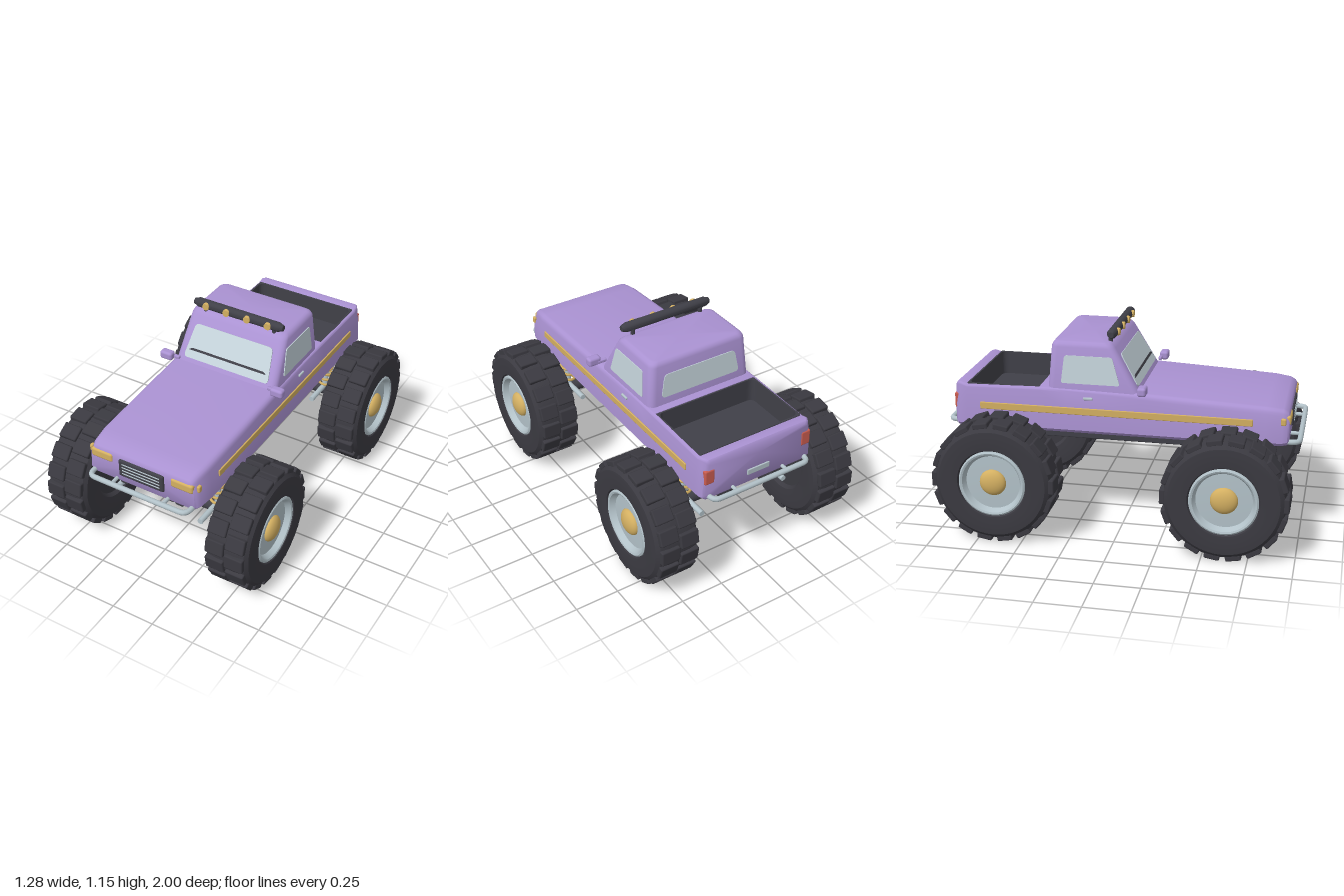
import * as THREE from 'three';
import { mergeGeometries, toCreasedNormals } from 'three/addons/utils/BufferGeometryUtils.js';
import { RoundedBoxGeometry } from 'three/addons/geometries/RoundedBoxGeometry.js';

const mat = (name, color) => Object.assign(new THREE.MeshStandardMaterial({ color }), { name });
const V = (x, y, z) => new THREE.Vector3(x, y, z);

export function createModel() {
  const truck = new THREE.Group();
  truck.name = 'monsterTruck';
  const paint = mat('purplePaint', 0xaa92d2), rubber = mat('rubber', 0x3b3a41), frame = mat('darkFrame', 0x404048);
  const glass = mat('glass', 0xc4d3da), silver = mat('silver', 0xb3c2c9), gold = mat('gold', 0xd4b062);
  const red = mat('tailRed', 0xcb5d50);

  const add = (name, geo, material, x = 0, y = 0, z = 0, parent = truck) => {
    const m = new THREE.Mesh(geo, material);
    m.name = name;
    m.position.set(x, y, z);
    parent.add(m);
    return m;
  };
  const rbox = (w, h, d, r = 0.01) => new RoundedBoxGeometry(w, h, d, 2, r);
  const tube = (pts, r, tension = 0.15) =>
    new THREE.TubeGeometry(new THREE.CatmullRomCurve3(pts, false, 'catmullrom', tension), 48, r, 10);

  // Skin closed rings, each counter-clockwise seen from the first ring's side
  const loft = (rings) => {
    const n = rings[0].length, pts = rings.flat(), idx = [];
    for (let i = 0; i < rings.length - 1; i++) for (let j = 0; j < n; j++) {
      const a = i * n + j, b = i * n + (j + 1) % n, c = a + n, d = b + n;
      idx.push(a, c, b, b, c, d);
    }
    [0, rings.length - 1].forEach((k) => {
      const centre = rings[k].reduce((s, p) => s.add(p), V(0, 0, 0)).divideScalar(n);
      pts.push(centre);
      for (let j = 0; j < n; j++) {
        const a = k * n + j, b = k * n + (j + 1) % n;
        idx.push(pts.length - 1, k ? b : a, k ? a : b);
      }
    });
    const g = new THREE.BufferGeometry().setFromPoints(pts);
    g.setIndex(idx);
    return toCreasedNormals(g, 0.75);
  };

  // Polygon with rounded corners
  const roundPoly = (pts, r, shape = new THREE.Shape()) => {
    const P = pts.map((p) => new THREE.Vector2(...p)), n = P.length;
    P.forEach((p, i) => {
      const toward = (q) => p.clone().add(q.clone().sub(p).setLength(r));
      const a = toward(P[(i + n - 1) % n]), b = toward(P[(i + 1) % n]);
      i ? shape.lineTo(a.x, a.y) : shape.moveTo(a.x, a.y);
      shape.quadraticCurveTo(p.x, p.y, b.x, b.y);
    });
    shape.closePath();
    return shape;
  };
  // Thin plate lying in the plane of u and v
  const plate = (name, pts, r, material, origin, u, v) => {
    const g = new THREE.ExtrudeGeometry(roundPoly(pts, r), { depth: 0.008, bevelEnabled: false, curveSegments: 6 });
    u.normalize(); v.normalize();
    const n = u.clone().cross(v);
    g.translate(0, 0, -0.003);
    g.applyMatrix4(new THREE.Matrix4().makeBasis(u, v, n).setPosition(origin));
    return add(name, g, material);
  };
  const trapezoid = (bottom, top, h) => [[-bottom, -h], [bottom, -h], [top, h], [-top, h]];

  // Body: sections along z; bed sections dip to the floor
  const section = ([z, yt, inset, r, yb = 0.57, bed = false]) => {
    const w = 0.355 - inset, wt = 0.336 - inset, xi = Math.min(0.32, wt - r), half = [];
    half.push([0, yb], [w - 0.02, yb], [w, yb + 0.02], [w - 0.005, 0.7]);
    for (let k = 0; k <= 4; k++) {
      const a = k * Math.PI / 8;
      half.push([wt - r + r * Math.cos(a), yt - r + r * Math.sin(a)]);
    }
    const yf = bed ? 0.67 : yt;
    half.push([xi, yt], [xi, yf], [0, yf]);
    const left = half.slice(1, -1).reverse().map(([x, y]) => [-x, y]);
    return [...half, ...left].map(([x, y]) => V(x, y, z));
  };
  add('body', loft([
    [0.926, 0.738, 0.032, 0.02, 0.585], [0.917, 0.757, 0.024, 0.03, 0.574], [0.89, 0.772, 0.014, 0.035],
    [0.8, 0.783, 0.004, 0.035], [0.45, 0.8, 0, 0.035], [0.12, 0.815, 0, 0.03], [-0.3, 0.818, 0, 0.016],
    [-0.455, 0.82, 0, 0.016], [-0.455, 0.82, 0, 0.016, 0.57, true], [-0.87, 0.812, 0, 0.016, 0.57, true],
    [-0.87, 0.812, 0, 0.016], [-0.91, 0.824, 0.002, 0.016], [-0.93, 0.82, 0.012, 0.016], [-0.94, 0.806, 0.026, 0.016, 0.585],
  ].map(section)), paint);

  // Bed liner
  const rect = (w, h) => [[-w, -h], [w, -h], [w, h], [-w, h]];
  const linerWall = roundPoly(rect(0.321, 0.209), 0.01);
  linerWall.holes.push(roundPoly(rect(0.311, 0.199), 0.04, new THREE.Path()));
  add('bedLiner', new THREE.ExtrudeGeometry(linerWall, { depth: 0.145, bevelEnabled: false }).rotateX(-Math.PI / 2), frame, 0, 0.672, -0.6625);
  add('bedFloor', new THREE.BoxGeometry(0.636, 0.012, 0.41), frame, 0, 0.674, -0.6625);

  // Cab: rounded rectangles from the roof down
  const cabRing = ([y, w, zf, zb, r]) => {
    const out = [];
    [[w - r, zb + r], [r - w, zb + r], [r - w, zf - r], [w - r, zf - r]].forEach(([x, z], q) => {
      for (let k = 0; k <= 5; k++) {
        const a = (q + k / 5) * Math.PI / 2;
        out.push(V(x + r * Math.cos(a), y, z - r * Math.sin(a)));
      }
    });
    return out;
  };
  add('cab', loft([
    [1.08, 0.273, -0.08, -0.36, 0.03], [1.077, 0.285, -0.065, -0.372, 0.036], [1.067, 0.298, -0.05, -0.384, 0.04],
    [1.05, 0.305, -0.034, -0.39, 0.04], [0.8, 0.325, 0.112, -0.41, 0.04],
  ].map(cabRing)), paint);

  // Windows
  const shieldU = () => V(1, 0, 0), shieldV = () => V(0, 1, -0.584);
  plate('windshield', trapezoid(0.273, 0.247, 0.1), 0.025, glass, V(0, 0.924, 0.0396), shieldU(), shieldV());
  plate('wiper', [[-0.25, -0.007], [0.25, -0.007], [0.23, 0.006], [-0.23, 0.006]], 0.005, frame, V(0, 0.886, 0.067), shieldU(), shieldV());
  plate('rearWindow', trapezoid(0.25, 0.225, 0.067), 0.025, glass, V(0, 0.93, -0.3996), V(-1, 0, 0), V(0, 1, 0.08));
  for (const s of [1, -1]) {
    const pts = [[0, -0.078], [0.33, -0.078], [0.312, 0.078], [0.045, 0.078]].map(([u, v]) => [u * s, v]);
    plate('sideWindow', pts, 0.015, glass, V(s * 0.3146, 0.928, 0), V(0, 0, -s), V(-0.08 * s, 1, 0));

    // Side trim, mirrors and lamps
    add('sideStripe', rbox(0.009, 0.04, 1.523, 0.004), gold, s * 0.3515, 0.7, -0.029);
    add('doorHandle', rbox(0.014, 0.016, 0.055, 0.006), silver, s * 0.342, 0.773, -0.175);
    add('mirrorArm', rbox(0.06, 0.02, 0.02, 0.006), paint, s * 0.315, 0.835, 0.115);
    add('mirror', rbox(0.078, 0.05, 0.05, 0.015), paint, s * 0.357, 0.843, 0.132);
    add('headlight', rbox(0.135, 0.055, 0.06, 0.014), gold, s * 0.248, 0.712, 0.904);
    add('sideMarker', rbox(0.02, 0.04, 0.028, 0.008), gold, s * 0.333, 0.71, 0.895);
    add('tailLight', rbox(0.06, 0.09, 0.036, 0.01), red, s * 0.306, 0.715, -0.926);
  }

  // Grille
  add('grille', rbox(0.28, 0.107, 0.024, 0.011), frame, 0, 0.677, 0.926);
  for (const y of [0.648, 0.668, 0.688, 0.708])
    add('grilleSlat', rbox(0.235, 0.007, 0.01, 0.003), silver, 0, y, 0.936);
  add('rearPlate', rbox(0.14, 0.034, 0.012, 0.004), silver, 0, 0.645, -0.941);

  // Tubular bumpers
  for (const s of [1, -1]) {
    const path = [[-0.305, 0.91], [-0.305, 0.947], [-0.272, 0.982], [0.272, 0.982], [0.305, 0.947], [0.305, 0.91]];
    add('bumper', tube(path.map(([x, z]) => V(x, 0.59, z * s)), 0.015), silver);
    for (const x of [-0.16, 0.16])
      add('bumperPost', new THREE.CylinderGeometry(0.011, 0.011, 0.08, 10).rotateX(Math.PI / 2), silver, x, 0.59, s * 0.94);
  }

  // Roof light bar
  const bar = [[0, -0.283], [0.016, -0.283], [0.027, -0.255], [0.027, 0.255], [0.016, 0.283], [0, 0.283]].map((p) => new THREE.Vector2(...p));
  add('lightBar', toCreasedNormals(new THREE.LatheGeometry(bar, 20).rotateZ(-Math.PI / 2), 0.5), frame, 0, 1.124, -0.057);
  for (const x of [-0.22, 0.22]) add('lightBarPost', new THREE.CylinderGeometry(0.013, 0.013, 0.05, 10), frame, x, 1.088, -0.07);
  for (const x of [-0.197, -0.066, 0.066, 0.197])
    add('roofLamp', new THREE.CylinderGeometry(0.02, 0.022, 0.016, 16).rotateX(Math.PI / 2), gold, x, 1.124, -0.031);

  // Chassis
  for (const x of [-0.175, 0.175]) add('frameRail', rbox(0.048, 0.088, 1.72, 0.006), frame, x, 0.53, -0.01);
  for (const z of [0.8, 0.3, -0.3, -0.8]) add('crossMember', rbox(0.34, 0.055, 0.05, 0.006), frame, 0, 0.527, z);

  // Wheel: hub axis along y, then turned to +x
  const turn = (pts) => toCreasedNormals(new THREE.LatheGeometry(pts.map((p) => new THREE.Vector2(...p)), 48), 0.6).rotateZ(-Math.PI / 2);
  const tireGeo = turn([[0, -0.1], [0.17, -0.1], [0.185, -0.122], [0.25, -0.13], [0.3, -0.126], [0.322, -0.108], [0.33, -0.06],
    [0.33, 0.06], [0.322, 0.108], [0.3, 0.126], [0.25, 0.13], [0.195, 0.125], [0.182, 0.1]]);
  const rimGeo = turn([[0.187, 0.09], [0.187, 0.12], [0.178, 0.126], [0.168, 0.122], [0.152, 0.092], [0, 0.096]]);
  const capGeo = new THREE.SphereGeometry(0.075, 28, 10, 0, Math.PI * 2, 0, Math.PI / 2).scale(1, 0.5, 1).rotateZ(-Math.PI / 2);
  const blocks = [];
  for (const row of [-1, 1]) for (let k = 0; k < 18; k++) {
    blocks.push(new RoundedBoxGeometry(0.034, 0.11, 0.086, 1, 0.008)
      .translate(0.329, row * 0.058, 0).rotateY((k + (row > 0 ? 0.5 : 0)) * Math.PI / 9));
  }
  const treadGeo = mergeGeometries(blocks).rotateZ(-Math.PI / 2);

  // Coil spring
  const coil = [];
  for (let k = 0; k <= 64; k++) {
    const a = k / 64 * Math.PI * 8;
    coil.push(V(0.038 * Math.cos(a), k / 64 * 0.15, 0.038 * Math.sin(a)));
  }
  const coilGeo = new THREE.TubeGeometry(new THREE.CatmullRomCurve3(coil), 128, 0.008, 6);

  // Axles, suspension and wheels
  for (const z of [0.618, -0.65]) {
    const axle = new THREE.Group();
    axle.name = z > 0 ? 'frontAxle' : 'rearAxle';
    axle.position.set(0, 0.35, z);
    truck.add(axle);
    add('axleTube', new THREE.CylinderGeometry(0.036, 0.036, 0.84, 20).rotateZ(Math.PI / 2), frame, 0, 0, 0, axle);
    add('differential', new THREE.SphereGeometry(0.072, 28, 18), frame, 0, 0, 0, axle);
    add('axleMount', new THREE.CylinderGeometry(0.025, 0.025, 0.17, 14), frame, 0, 0.12, 0, axle);
    add('axleCrossMember', rbox(0.34, 0.055, 0.06, 0.006), frame, 0, 0.177, 0, axle);
    for (const s of [1, -1]) {
      add('shock', new THREE.CylinderGeometry(0.018, 0.018, 0.21, 14), silver, s * 0.27, 0.125, 0, axle);
      add('spring', coilGeo, gold, s * 0.27, 0.045, 0, axle);
      add('linkRod', new THREE.CylinderGeometry(0.016, 0.016, 0.36, 12).rotateX(Math.PI / 2), silver, s * 0.27, 0.028, 0, axle);
      const wheel = new THREE.Group();
      wheel.name = 'wheel';
      wheel.position.set(s * 0.51, -0.002, 0);
      wheel.rotation.y = s > 0 ? 0 : Math.PI;
      axle.add(wheel);
      add('tire', tireGeo, rubber, 0, 0, 0, wheel);
      add('tread', treadGeo, rubber, 0, 0, 0, wheel);
      add('rim', rimGeo, silver, 0, 0, 0, wheel);
      add('hubCap', capGeo, gold, 0.093, 0, 0, wheel);
    }
  }
  return truck;
}
